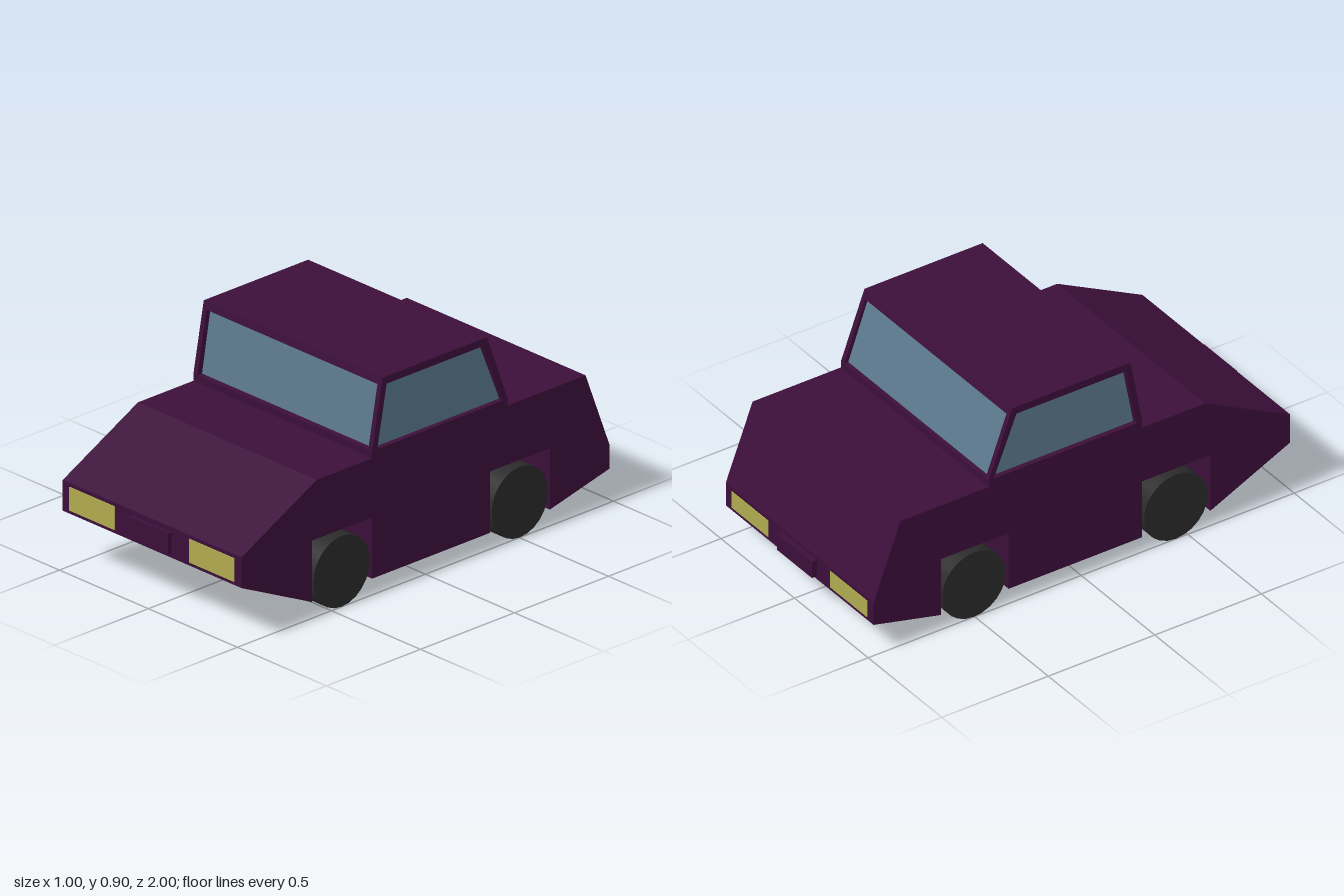
import * as THREE from 'three';

const paint = new THREE.MeshStandardMaterial({ color: 0x3c0e3a, flatShading: true });
const glass = new THREE.MeshStandardMaterial({ color: 0x5a788c, flatShading: true });
const lamp = new THREE.MeshStandardMaterial({ color: 0xb0ab4e, flatShading: true });
const rubber = new THREE.MeshStandardMaterial({ color: 0x2a2a2a });

const HALF = 0.502;   // half width of the body
const WELL = 0.175;   // inner wall of the wheel wells
const PILLAR = 0.48;  // inner side of the cabin side frames

const points = (list) => list.map(([z, y]) => new THREE.Vector2(z, y));

export function createModel() {
  const car = new THREE.Group();
  car.name = 'car';

  function add(name, geometry, material, x = 0, y = 0, z = 0) {
    const mesh = new THREE.Mesh(geometry, material);
    mesh.name = name;
    mesh.position.set(x, y, z);
    car.add(mesh);
    return mesh;
  }

  // Extrudes a side profile of [z, y] points across the car from x0 to x1
  function slab(name, profile, x0, x1, material, hole) {
    const shape = new THREE.Shape(points(profile));
    if (hole) shape.holes.push(new THREE.Path(points(hole)));
    const geometry = new THREE.ExtrudeGeometry(shape, { depth: x1 - x0, bevelEnabled: false });
    geometry.rotateY(-Math.PI / 2);
    geometry.translate(x1, 0, 0);
    return add(name, geometry, material);
  }

  // Body: full profile in the middle, notched for the wheels at the sides
  const upper = [[0.98, 0.245], [0.98, 0.375], [0.58, 0.58], [-0.85, 0.58], [-0.976, 0.25], [-0.976, 0.145]];
  const floor = [[-0.66, 0.07], [0.605, 0.07]];
  const notched = [
    [-0.66, 0.07], [-0.66, 0.33], [-0.342, 0.33], [-0.342, 0.07],
    [0.285, 0.07], [0.285, 0.33], [0.605, 0.33], [0.605, 0.07],
  ];
  slab('bodyCentre', [...upper, ...floor], -WELL, WELL, paint);
  slab('bodyLeft', [...upper, ...notched], WELL, HALF, paint);
  slab('bodyRight', [...upper, ...notched], -HALF, -WELL, paint);

  // Cabin: side frames, sill, roof and the recessed glass between them
  const frame = [[0.285, 0.58], [0.285, 0.61], [0.23, 0.904], [-0.325, 0.904], [-0.435, 0.61], [-0.435, 0.58]];
  const opening = [[0.258, 0.61], [0.208, 0.872], [-0.305, 0.872], [-0.412, 0.61]];
  slab('cabinFrameLeft', frame, PILLAR, HALF, paint, opening);
  slab('cabinFrameRight', frame, -HALF, -PILLAR, paint, opening);
  slab('cabinSill', [[0.285, 0.58], [0.285, 0.61], [-0.435, 0.61], [-0.435, 0.58]], -PILLAR, PILLAR, paint);
  slab('roof', [[0.236, 0.872], [0.23, 0.904], [-0.325, 0.904], [-0.337, 0.872]], -PILLAR, PILLAR, paint);
  slab('windows', [[0.26, 0.61], [0.215, 0.872], [-0.322, 0.872], [-0.416, 0.61]], -PILLAR, PILLAR, glass);

  // Wheels
  for (const [end, z] of [['front', 0.445], ['rear', -0.503]]) {
    for (const [side, s] of [['Left', 1], ['Right', -1]]) {
      const wheel = new THREE.CylinderGeometry(0.15, 0.15, 0.315, 24);
      wheel.rotateZ(Math.PI / 2);
      add(end + 'Wheel' + side, wheel, rubber, s * 0.342, 0.15, z);
    }
  }

  // Lamps at both ends, set almost flush
  for (const [side, s] of [['Left', 1], ['Right', -1]]) {
    add('headlight' + side, new THREE.BoxGeometry(0.254, 0.1, 0.02), lamp, s * 0.336, 0.309, 0.973);
    add('tailLight' + side, new THREE.BoxGeometry(0.25, 0.075, 0.02), lamp, s * 0.335, 0.197, -0.969);
  }

  // Blank number plates
  add('frontPlate', new THREE.BoxGeometry(0.22, 0.088, 0.04), paint, 0, 0.31, 0.98);
  add('rearPlate', new THREE.BoxGeometry(0.236, 0.075, 0.04), paint, 0, 0.197, -0.98);

  return car;
}
